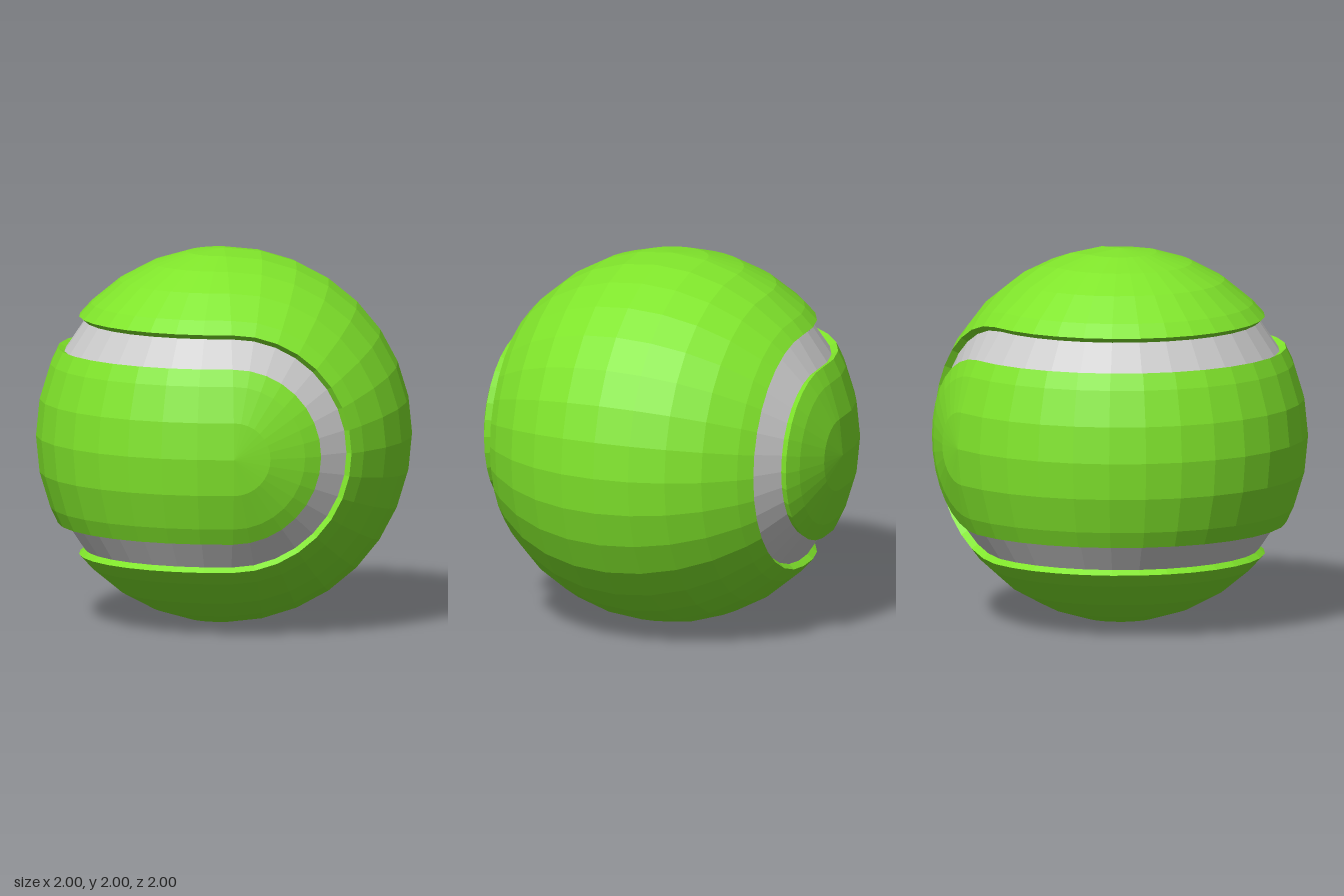
import * as THREE from 'three';
import { mergeGeometries } from 'three/addons/utils/BufferGeometryUtils.js';

const STEP = 11.25;          // facet size in degrees
const GROOVE = 0.96;         // radius of the seam floor
const INNER = 28, OUTER = 39.6; // seam edges, degrees from the front axis

// Point on the profile at a given latitude
function at(deg, r = 1) {
  const a = THREE.MathUtils.degToRad(deg);
  return new THREE.Vector2(Math.max(0, r * Math.cos(a)), r * Math.sin(a));
}

// Arc between two latitudes, with facet breaks on multiples of STEP
function arc(from, to) {
  const pts = [at(from)];
  for (let k = Math.ceil(from / STEP + 0.01); k * STEP < to - 0.01; k++) pts.push(at(k * STEP));
  pts.push(at(to));
  return pts;
}

// Half-turn lathe: the right half turns about y, the left half about z
function halfLathe(points, left) {
  const g = new THREE.LatheGeometry(points, 16, left ? 0 : Math.PI, Math.PI);
  return left ? g.rotateX(Math.PI / 2) : g;
}

// Band across the middle of a hemisphere, with walls down into the groove
function strip(edge, left) {
  return halfLathe([at(-edge, GROOVE), ...arc(-edge, edge), at(edge, GROOVE)], left);
}

// Rounded ends of a panel, at both poles
function caps(edge, left) {
  return [
    halfLathe([at(edge, GROOVE), ...arc(edge, 90)], left),
    halfLathe([...arc(-90, -edge), at(-edge, GROOVE)], left),
  ];
}

// Sunken seam bands above and below the strip
function seamBands(low, high, left) {
  return [
    halfLathe([at(low, GROOVE), at(high, GROOVE)], left),
    halfLathe([at(-high, GROOVE), at(-low, GROOVE)], left),
  ];
}

export function createModel() {
  const felt = new THREE.MeshStandardMaterial({ color: 0x80e52b, flatShading: true, side: THREE.DoubleSide });
  const grey = new THREE.MeshStandardMaterial({ color: 0xcccccc, flatShading: true, side: THREE.DoubleSide });

  const ball = new THREE.Group();
  ball.name = 'ball';
  const add = (name, parts, material) => {
    const mesh = new THREE.Mesh(mergeGeometries(parts), material);
    mesh.name = name;
    mesh.position.y = 1;
    ball.add(mesh);
  };

  // Two interlocking felt panels: a strip on one side, round ends on the other
  add('rightPanel', [strip(INNER, false), ...caps(90 - INNER, true)], felt);
  add('leftPanel', [strip(90 - OUTER, true), ...caps(OUTER, false)], felt);

  // Continuous seam between the panels
  add('seam', [...seamBands(INNER, OUTER, false), ...seamBands(90 - OUTER, 90 - INNER, true)], grey);

  return ball;
}
